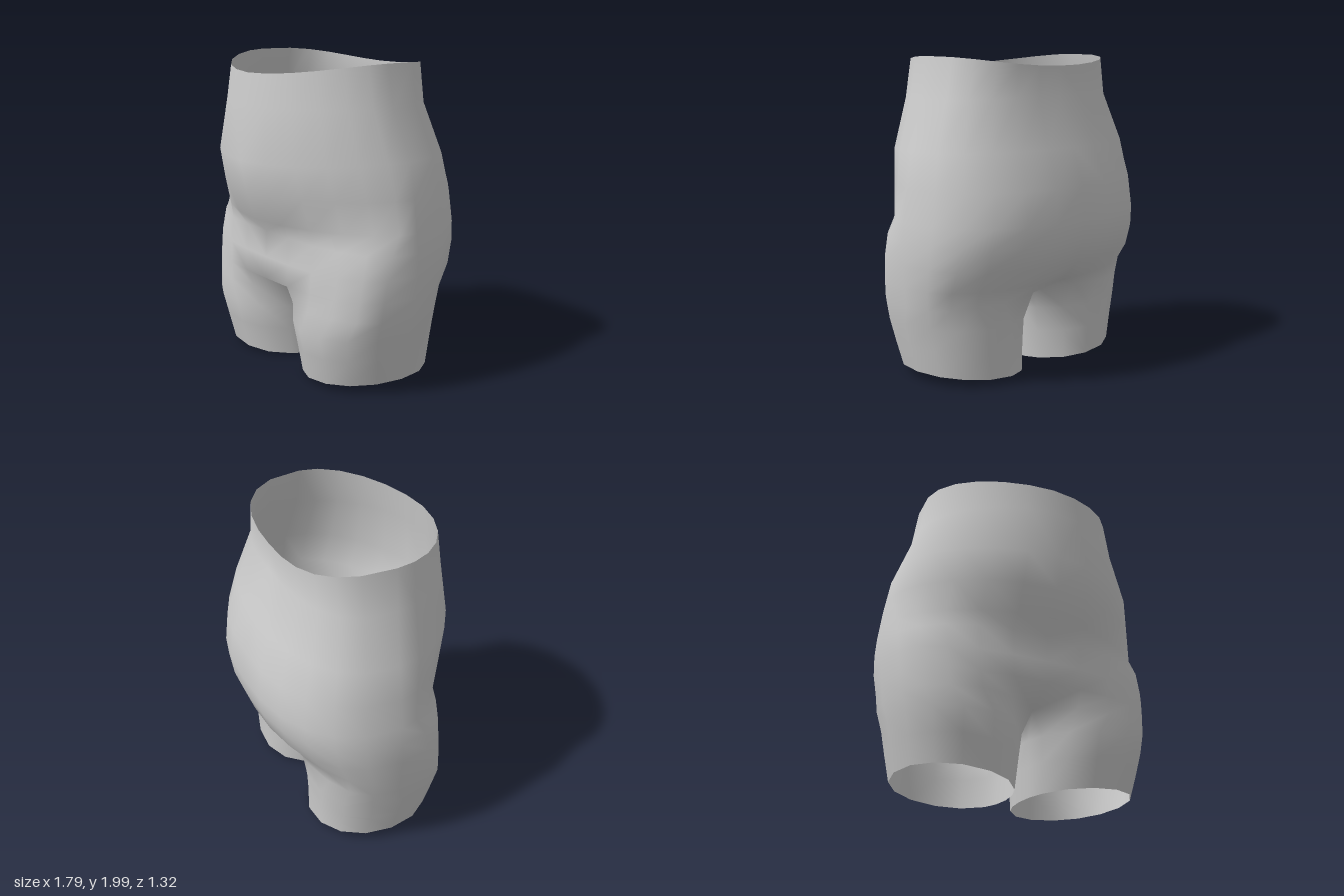
import * as THREE from 'three';
import { mergeVertices } from 'three/addons/utils/BufferGeometryUtils.js';

const OUTER = 12; // segments from front centre round the hip to back centre
const INNER = 4;  // segments along the crotch, from back to front

const spow = (v, e) => Math.sign(v) * Math.pow(Math.abs(v), e);
const mix = THREE.MathUtils.lerp;

// Half rings of the torso: heights at front, side and back, half width,
// front z, back z, middle z, roundness in front and at the back
const torsoRows = [
  [1.93, 2.00, 1.94, 0.65, 0.595, -0.445, 0.05, 1.85, 2.8],
  [1.74, 1.74, 1.76, 0.695, 0.62, -0.45, 0.04, 1.85, 2.7],
  [1.40, 1.44, 1.45, 0.81, 0.66, -0.56, 0.0, 1.85, 2.5],
  [1.20, 1.22, 1.22, 0.85, 0.62, -0.64, 0.0, 1.75, 2.4],
  [1.02, 1.02, 1.01, 0.878, 0.56, -0.66, 0.0, 1.75, 2.4],
  [0.93, 0.90, 0.88, 0.89, 0.475, -0.645, 0.0, 2.5, 2.4],
  [0.76, 0.76, 0.74, 0.893, 0.482, -0.595, 0.0, 2.8, 2.4],
  [0.62, 0.62, 0.61, 0.882, 0.485, -0.48, 0.0, 3.0, 2.5],
  [0.51, 0.50, 0.53, 0.87, 0.50, -0.44, 0.0, 3.0, 2.6],
];

// Leg rings: height at inner and outer side, inner x, outer x, front z, back z
const legRows = [
  [0.36, 0.38, 0.016, 0.85, 0.485, -0.40],
  [0.20, 0.24, 0.03, 0.82, 0.45, -0.39],
  [0.01, 0.075, 0.045, 0.78, 0.41, -0.385],
];

function torsoRing([yf, ys, yb, w, zf, zb, zm, nf, nb]) {
  const ring = [];
  for (let i = 0; i <= OUTER; i++) {
    const t = (i / OUTER) * Math.PI;
    const c = Math.cos(t), front = c > 0, n = front ? nf : nb;
    const s = i % OUTER ? Math.sin(t) : 0;
    const depth = Math.pow(1 - Math.pow(s, n), 1 / n);
    ring.push([w * s, mix(ys, front ? yf : yb, c * c), mix(zm, front ? zf : zb, depth)]);
  }
  return ring;
}

// Tucks the lowest torso ring under the body near the centre plane
function tuck(ring) {
  [0.56, 0.88].forEach((k, i) => {
    ring[i][2] *= k;
    ring[OUTER - i][2] *= k;
  });
}

// Crotch line on the centre plane, joining back centre to front centre
function crotchLine(back, front) {
  const line = [];
  for (let i = 1; i < INNER; i++) {
    const s = i / INNER;
    line.push([0, mix(back[1], front[1], s), mix(back[2], front[2], s)]);
  }
  return line;
}

function legRing([yi, yo, xi, xo, zf, zb]) {
  const ring = [], n = 2.1;
  for (let i = 0; i < OUTER + INNER; i++) {
    const deg = i <= OUTER ? -60 + (300 * i) / OUTER : 240 + (60 * (i - OUTER)) / INNER;
    const a = THREE.MathUtils.degToRad(deg);
    const u = spow(Math.sin(a), 2 / n), v = spow(Math.cos(a), 2 / n);
    ring.push([mix(xi, xo, (u + 1) / 2), mix(yi, yo, (u + 1) / 2), mix(zb, zf, (v + 1) / 2)]);
  }
  return ring;
}

// Joins successive rings with triangles, on both sides of the centre plane
function loft(rings, closed, out) {
  for (let r = 0; r < rings.length - 1; r++) {
    const A = rings[r], B = rings[r + 1], n = A.length;
    for (let i = 0; i < (closed ? n : n - 1); i++) {
      const j = (i + 1) % n;
      for (const tri of [[A[i], B[i], A[j]], [A[j], B[i], B[j]]]) {
        for (const p of tri) out.push(...p);
        for (const p of [...tri].reverse()) out.push(-p[0], p[1], p[2]);
      }
    }
  }
}

export function createModel() {
  const group = new THREE.Group();
  group.name = 'hips';

  const torso = torsoRows.map(torsoRing);
  const hem = torso[torso.length - 1];
  tuck(hem);
  const legTop = [...hem, ...crotchLine(hem[OUTER], hem[0])];

  const positions = [];
  loft(torso, false, positions);
  loft([legTop, ...legRows.map(legRing)], true, positions);

  // One smooth skin, open at the waist and at both legs
  let geometry = new THREE.BufferGeometry();
  geometry.setAttribute('position', new THREE.Float32BufferAttribute(positions, 3));
  geometry = mergeVertices(geometry, 1e-4);
  geometry.computeVertexNormals();

  const skin = new THREE.Mesh(
    geometry,
    new THREE.MeshStandardMaterial({ color: 0xcccccc, side: THREE.DoubleSide })
  );
  skin.name = 'pelvisAndThighs';
  group.add(skin);
  return group;
}
